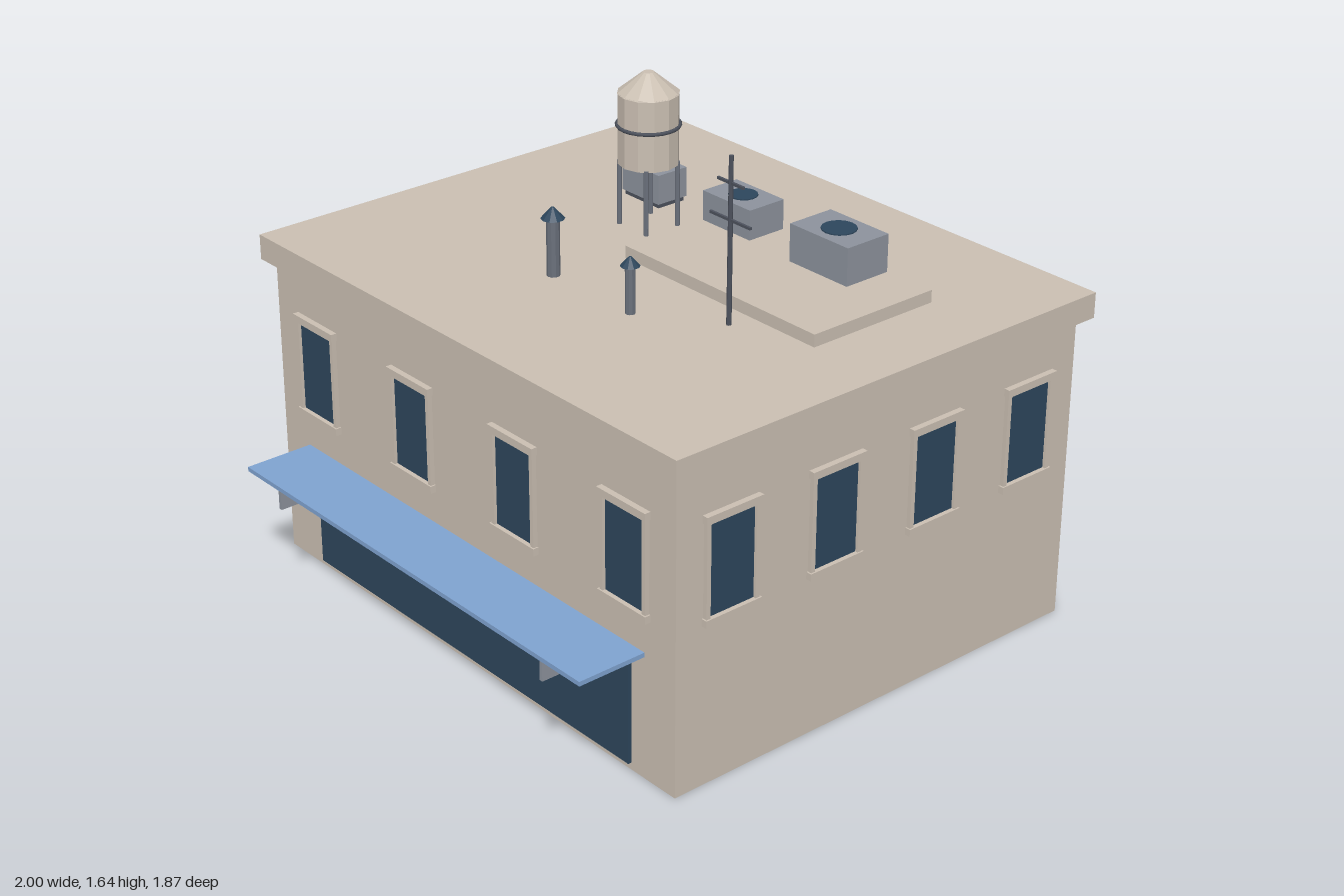
import * as THREE from 'three';

const mat = (name, color) => {
  const m = new THREE.MeshStandardMaterial({ color });
  m.name = name;
  return m;
};

export function createModel() {
  const model = new THREE.Group();
  model.name = 'building';
  const wall = mat('wall beige', 0xcabfb2);
  const glass = mat('dark blue glass', 0x2d465c);
  const awningBlue = mat('awning blue', 0x7fa3d0);
  const gray = mat('unit gray', 0x8c929c);
  const metal = mat('metal gray', 0x6a707b);
  const darkMetal = mat('dark metal', 0x4c515c);

  const add = (parent, name, geo, material, x, y, z) => {
    const mesh = new THREE.Mesh(geo, material);
    mesh.name = name;
    mesh.position.set(x, y, z);
    parent.add(mesh);
    return mesh;
  };
  // box given by its extents
  const box = (parent, name, material, x0, x1, y0, y1, z0, z1) =>
    add(parent, name, new THREE.BoxGeometry(x1 - x0, y1 - y0, z1 - z0), material,
      (x0 + x1) / 2, (y0 + y1) / 2, (z0 + z1) / 2);
  // upright cylinder or cone given by its bottom and top
  const post = (parent, name, material, rBottom, rTop, y0, y1, x, z, sides = 10) => {
    const geo = new THREE.CylinderGeometry(rTop, rBottom, y1 - y0, sides).toNonIndexed();
    geo.computeVertexNormals();
    return add(parent, name, geo, material, x, (y0 + y1) / 2, z);
  };

  // main block and overhanging roof
  box(model, 'walls', wall, -0.963, 0.963, 0, 1.03, -0.9, 0.7);
  box(model, 'roofSlab', wall, -1, 1, 1.028, 1.112, -0.937, 0.733);

  // one framed window, facing +z, standing on the wall plane
  const makeWindow = () => {
    const g = new THREE.Group();
    g.name = 'window';
    box(g, 'windowGlass', glass, -0.086, 0.086, 0.555, 0.862, -0.005, 0.005);
    for (const s of [-1, 1]) {
      const x = s * 0.0925;
      box(g, 'windowJamb', wall, x - 0.0075, x + 0.0075, 0.555, 0.862, -0.005, 0.015);
    }
    box(g, 'windowLintel', wall, -0.105, 0.105, 0.86, 0.885, -0.005, 0.02);
    box(g, 'windowSill', wall, -0.105, 0.105, 0.533, 0.557, -0.005, 0.02);
    return g;
  };
  // four windows on each side
  for (let i = 0; i < 4; i++) {
    const x = (i - 1.5) * 0.5;
    const z = -0.1 + (i - 1.5) * 0.4;
    for (const [px, pz, turn] of [
      [x, 0.7, 0], [x, -0.9, Math.PI],
      [0.963, z, Math.PI / 2], [-0.963, z, -Math.PI / 2],
    ]) {
      const w = makeWindow();
      w.position.set(px, 0, pz);
      w.rotation.y = turn;
      model.add(w);
    }
  }

  // shop window with awning and brackets
  box(model, 'shopWindow', glass, -0.773, 0.773, 0.025, 0.375, 0.7, 0.713);
  box(model, 'awning', awningBlue, -0.83, 0.83, 0.408, 0.423, 0.69, 0.937);
  for (const s of [-1, 1]) {
    box(model, 'awningBracket', gray, s * 0.656 - 0.006, s * 0.656 + 0.006, 0.342, 0.409, 0.69, 0.935);
  }

  // raised roof pad
  box(model, 'roofPad', wall, -0.115, 0.73, 1.11, 1.153, -0.508, -0.027);

  // air conditioning units: centre x, half width, half depth, top, fan radius
  for (const [x, w, d, top, r] of [
    [-0.43, 0.09, 0.06, 1.228, 0.04],
    [-0.004, 0.109, 0.071, 1.253, 0.047],
    [0.425, 0.125, 0.085, 1.278, 0.056],
  ]) {
    const unit = new THREE.Group();
    unit.name = 'airConditioner';
    box(unit, 'unitBase', darkMetal, x - w + 0.007, x + w - 0.007, 1.11, 1.13, -0.415 - d + 0.007, -0.415 + d - 0.007);
    box(unit, 'unitBody', gray, x - w, x + w, 1.128, top, -0.415 - d, -0.415 + d);
    post(unit, 'unitFan', glass, r, r, top - 0.002, top + 0.004, x, -0.415, 16);
    model.add(unit);
  }

  // water tank on four legs
  const tank = new THREE.Group();
  tank.name = 'waterTank';
  const tx = -0.27, tz = -0.253;
  post(tank, 'tankBody', wall, 0.098, 0.098, 1.325, 1.56, tx, tz, 12);
  post(tank, 'tankRoof', wall, 0.1, 0.018, 1.558, 1.625, tx, tz, 12);
  const band = add(tank, 'tankBand', new THREE.TorusGeometry(0.1, 0.006, 6, 24), darkMetal, tx, 1.453, tz);
  band.rotation.x = Math.PI / 2;
  for (const sx of [-1, 1]) {
    for (const sz of [-1, 1]) {
      post(tank, 'tankLeg', metal, 0.008, 0.008, 1.11, 1.33, tx + sx * 0.065, tz + sz * 0.065, 8);
    }
  }
  model.add(tank);

  // vent pipes with conical caps: x, pipe radius, cap radius, cap bottom, cap top
  for (const [x, r, cap, y0, y1] of [
    [-0.156, 0.021, 0.038, 1.3, 1.337],
    [0.206, 0.016, 0.031, 1.265, 1.295],
  ]) {
    post(model, 'ventPipe', metal, r, r, 1.11, y0 + 0.005, x, 0.224);
    post(model, 'ventCap', glass, cap, 0.004, y0, y1, x, 0.224);
  }

  // antenna mast with two crossbars
  post(model, 'antennaMast', darkMetal, 0.008, 0.007, 1.11, 1.645, 0.455, 0.056, 8);
  for (const [y, half] of [[1.445, 0.087], [1.56, 0.056]]) {
    box(model, 'antennaBar', darkMetal, 0.455 - half, 0.455 + half, y - 0.004, y + 0.004, 0.052, 0.06);
  }
  return model;
}
